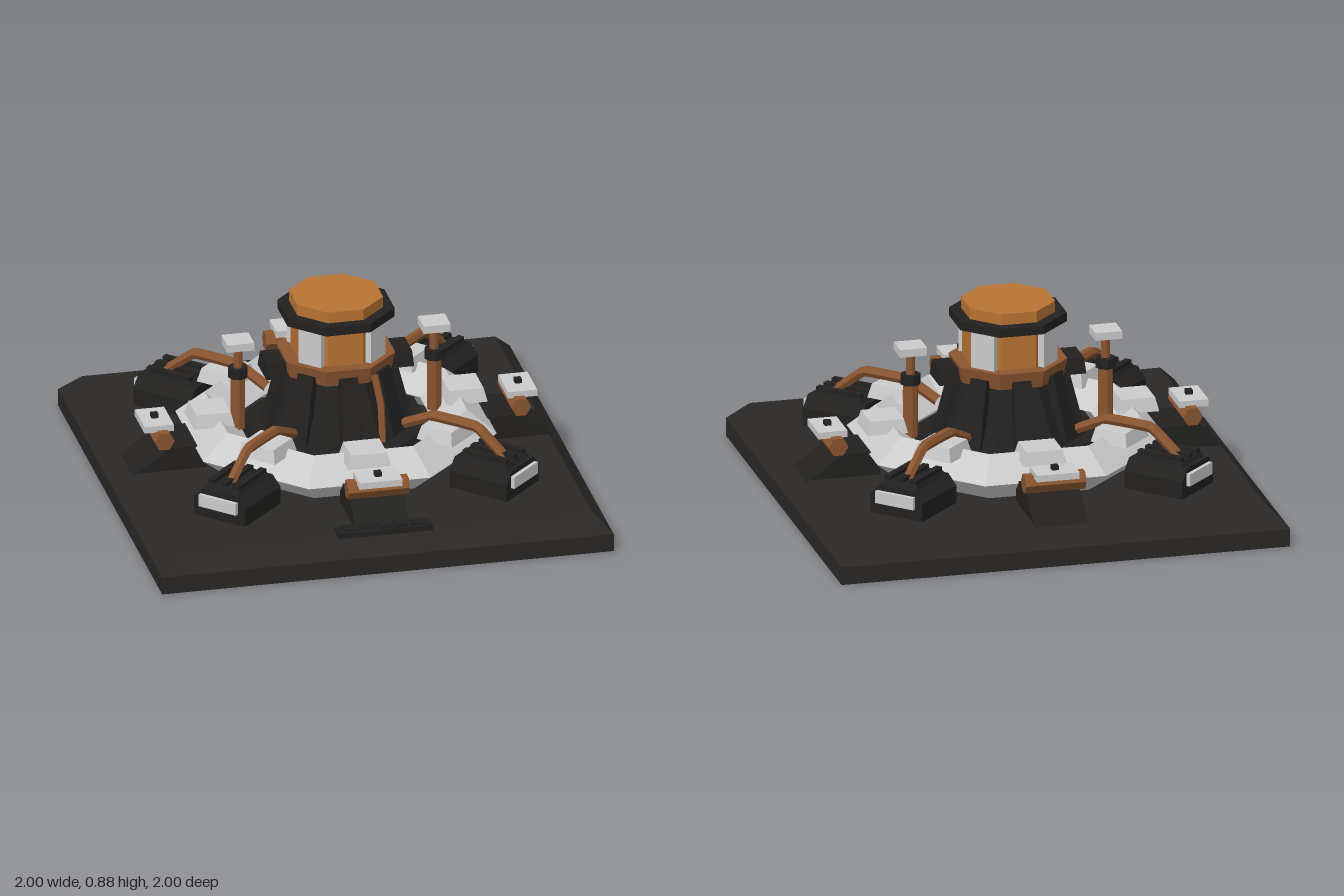
import * as THREE from 'three';

const mat = (color) => new THREE.MeshStandardMaterial({ color, flatShading: true });
const dark = mat(0x2a2826), black = mat(0x222120), copper = mat(0x8a5530), orange = mat(0xb87333), grey = mat(0xcccccc);

function add(parent, name, geo, material, x = 0, y = 0, z = 0) {
  const mesh = new THREE.Mesh(geo, material);
  mesh.name = name;
  mesh.position.set(x, y, z);
  parent.add(mesh);
  return mesh;
}

// Box whose top is scaled in x and z
function frustum(w, h, d, sx = 1, sz = sx) {
  const g = new THREE.BoxGeometry(w, h, d), p = g.attributes.position;
  for (let i = 0; i < p.count; i++) {
    if (p.getY(i) > 0) p.setXYZ(i, p.getX(i) * sx, p.getY(i), p.getZ(i) * sz);
  }
  return g;
}

// Eight-sided cylinder measured across its flats, a flat facing front
const C8 = Math.cos(Math.PI / 8);
const octagon = (top, bottom, h) =>
  new THREE.CylinderGeometry(top / C8, bottom / C8, h, 8).rotateY(Math.PI / 8);

// Group turned so that its local +z points outward
function spoke(parent, name, angle) {
  const g = new THREE.Group();
  g.name = name;
  g.rotation.y = angle;
  parent.add(g);
  return g;
}

function pipe(points, radius) {
  const curve = new THREE.CatmullRomCurve3(points.map((p) => new THREE.Vector3(...p)), false, 'catmullrom', 0.1);
  return new THREE.TubeGeometry(curve, 24, radius, 6);
}

function outline(points) {
  return new THREE.Shape(points.map((p) => new THREE.Vector2(...p)));
}

export function createModel() {
  const model = new THREE.Group();
  model.name = 'reactorPlatform';

  // Square base with bevelled top
  add(model, 'baseSlab', new THREE.BoxGeometry(2, 0.08, 2), dark, 0, 0.04, 0);
  add(model, 'baseBevel', frustum(2, 0.09, 2, 0.915), dark, 0, 0.125, 0);

  // Faceted ring with a diamond section
  const section = [[0.575, 0.165], [0.704, 0.267], [0.575, 0.37], [0.445, 0.267], [0.575, 0.165]];
  add(model, 'ring', new THREE.LatheGeometry(section.map((p) => new THREE.Vector2(...p)), 8, Math.PI / 8), grey);

  // Central tower
  add(model, 'towerFlange', octagon(0.38, 0.42, 0.11), black, 0, 0.225, 0);
  add(model, 'towerCone', octagon(0.19, 0.32, 0.3), black, 0, 0.41, 0);
  add(model, 'towerCollar', octagon(0.24, 0.225, 0.075), copper, 0, 0.583, 0);
  add(model, 'towerCore', octagon(0.185, 0.185, 0.18), orange, 0, 0.705, 0);
  add(model, 'towerRim', octagon(0.237, 0.237, 0.04), black, 0, 0.81, 0);
  add(model, 'towerCap', octagon(0.19, 0.19, 0.05), orange, 0, 0.855, 0);

  for (let i = 0; i < 8; i++) {
    const s = spoke(model, 'ringSpoke', (i * Math.PI) / 4);
    // Pad sitting on the ring ridge
    add(s, 'ringPad', frustum(0.19, 0.06, 0.18, 0.84), grey, 0, 0.37, 0.56);
    // Leaning fins around the tower
    const fin = add(s, 'towerFin', frustum(0.1, 0.3, 0.04, 0.8, 1), black, 0, 0.435, 0.268);
    fin.rotation.x = -0.25;
    if (i % 2) add(s, 'corePanel', new THREE.BoxGeometry(0.115, 0.17, 0.05), grey, 0, 0.705, 0.19);
  }

  // Supports with a roller and plate on the four straight sides
  const wedge = new THREE.ExtrudeGeometry(
    outline([[0.6, 0.16], [0.93, 0.16], [0.76, 0.275], [0.6, 0.275]]), { depth: 0.24, bevelEnabled: false });
  wedge.rotateY(-Math.PI / 2).translate(0.12, 0, 0);
  for (let i = 0; i < 4; i++) {
    const s = spoke(model, 'rollerUnit', (i * Math.PI) / 2);
    add(s, 'rollerSupport', wedge, black);
    add(s, 'roller', new THREE.CylinderGeometry(0.044, 0.044, 0.27, 6).rotateZ(Math.PI / 2), copper, 0, 0.315, 0.79);
    add(s, 'rollerPlate', new THREE.BoxGeometry(0.19, 0.03, 0.13), grey, 0, 0.36, 0.805);
    add(s, 'plateStud', new THREE.BoxGeometry(0.03, 0.02, 0.03), black, 0, 0.385, 0.805);
  }

  // Housings and feed pipes on the diagonals
  const hull = new THREE.ExtrudeGeometry(
    outline([[-0.13, 0.16], [0.13, 0.16], [0.13, 0.25], [0.09, 0.3], [-0.09, 0.3], [-0.13, 0.25]]),
    { depth: 0.29, bevelEnabled: false });
  for (let i = 0; i < 4; i++) {
    const s = spoke(model, 'housingUnit', Math.PI / 4 + (i * Math.PI) / 2);
    add(s, 'housing', hull, black, 0, 0, 0.66);
    add(s, 'housingTop', frustum(0.18, 0.02, 0.25, 0.9), black, 0, 0.31, 0.805);
    for (const x of [-0.065, 0, 0.065]) {
      add(s, 'housingRib', new THREE.BoxGeometry(0.03, 0.025, 0.22), black, x, 0.325, 0.805);
    }
    add(s, 'housingPlate', new THREE.BoxGeometry(0.19, 0.055, 0.02), grey, 0, 0.25, 0.958);
    add(s, 'feedPipe', pipe([[0, 0.31, 0.86], [0, 0.42, 0.72], [0, 0.42, 0.5], [0, 0.35, 0.35]], 0.024), copper);
  }

  // Posts and shoulder blocks on both sides
  for (const side of [-1, 1]) {
    const s = spoke(model, 'postUnit', (side * Math.PI) / 2);
    const z = 0.435;
    add(s, 'postSleeve', new THREE.CylinderGeometry(0.033, 0.033, 0.24, 8), copper, 0, 0.41, z);
    add(s, 'postCollar', new THREE.CylinderGeometry(0.044, 0.044, 0.045, 8), black, 0, 0.553, z);
    add(s, 'postRod', new THREE.CylinderGeometry(0.02, 0.02, 0.1, 8), copper, 0, 0.625, z);
    add(s, 'postCap', new THREE.BoxGeometry(0.115, 0.035, 0.12), grey, 0, 0.69, z);
    add(s, 'shoulderBlock', frustum(0.17, 0.07, 0.095, 0.85), black, 0, 0.573, 0.28);
  }

  // Single riser pipe at the front of the tower
  add(model, 'riserPipe', pipe([[0.14, 0.29, 0.29], [0.14, 0.45, 0.26], [0.12, 0.58, 0.22]], 0.016), copper);

  // Low segmented strip on the front edge
  add(model, 'frontStrip', new THREE.BoxGeometry(0.42, 0.025, 0.08), black, 0, 0.172, 0.915);
  for (const x of [-0.15, -0.075, 0, 0.075, 0.15]) {
    add(model, 'stripBlock', new THREE.BoxGeometry(0.055, 0.012, 0.05), black, x, 0.19, 0.915);
  }
  return model;
}
